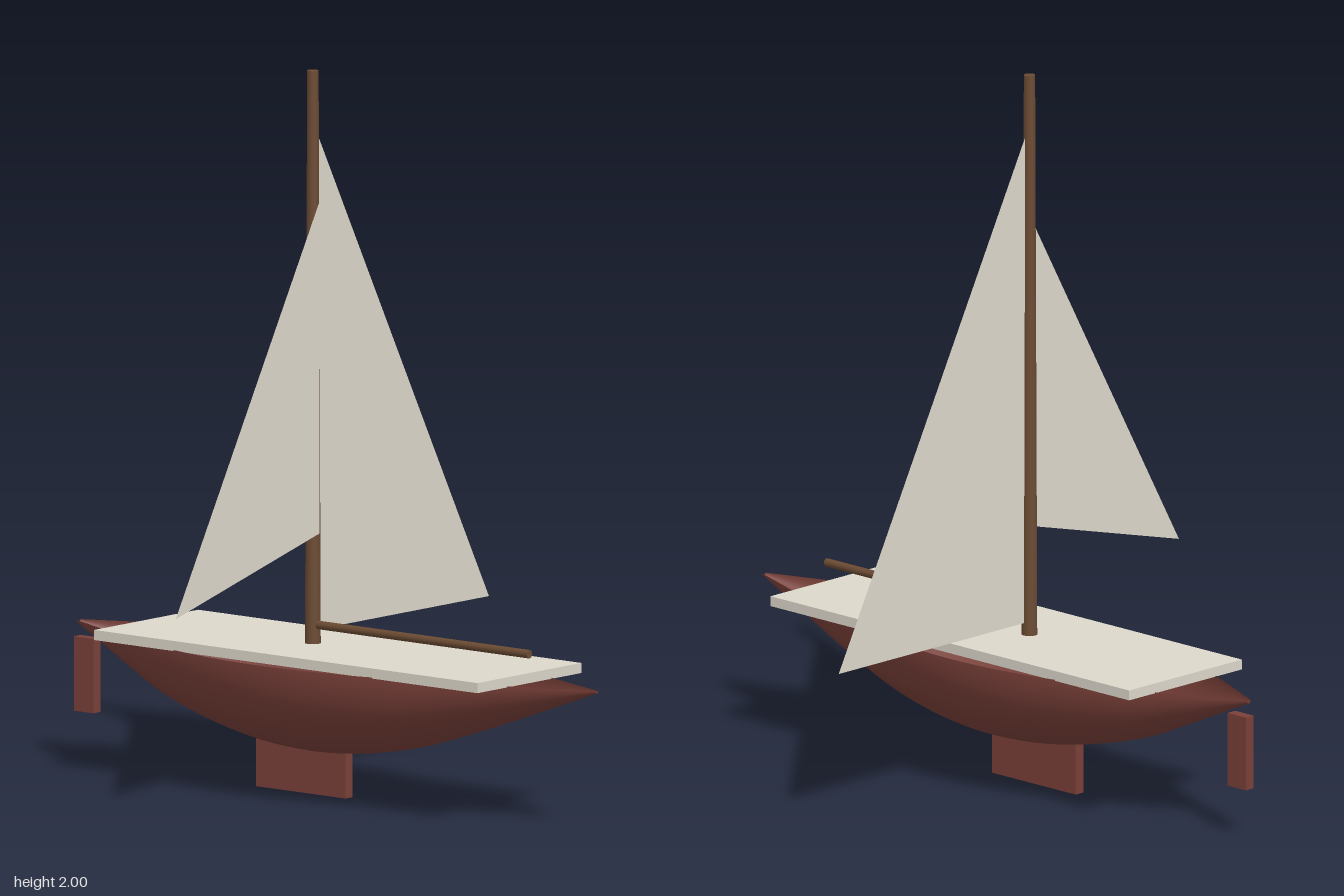
import * as THREE from 'three';

const CX = -0.07;     // centre line of the boat
const MAST_Z = -0.087;

const hullRed = new THREE.MeshStandardMaterial({ color: 0x7a4039, side: THREE.DoubleSide });
hullRed.name = 'hullRed';
const canvas = new THREE.MeshStandardMaterial({ color: 0xddd8cb, side: THREE.DoubleSide });
canvas.name = 'canvas';
const wood = new THREE.MeshStandardMaterial({ color: 0x6b4b33 });
wood.name = 'wood';

export function createModel() {
  const boat = new THREE.Group();
  boat.name = 'sailboat';

  const add = (name, geometry, material, x = 0, y = 0, z = 0) => {
    const mesh = new THREE.Mesh(geometry, material);
    mesh.name = name;
    mesh.position.set(x, y, z);
    boat.add(mesh);
    return mesh;
  };

  // Open hull: lower half of a spindle, radius against length
  const stations = [
    [0.008, -0.925], [0.115, -0.69], [0.175, -0.55], [0.22, -0.4], [0.256, -0.22],
    [0.268, -0.04], [0.256, 0.13], [0.22, 0.31], [0.16, 0.5], [0.093, 0.69], [0.006, 0.928],
  ].map(([r, z]) => new THREE.Vector2(r, z));
  const profile = new THREE.SplineCurve(stations).getPoints(40);
  const hull = new THREE.LatheGeometry(profile, 32, -Math.PI / 2, Math.PI);
  hull.rotateX(Math.PI / 2);
  add('hull', hull, hullRed, CX, 0.39, 0);

  // Deck, keel and rudder
  add('deck', new THREE.BoxGeometry(0.44, 0.028, 1.37), canvas, CX, 0.401, 0.002);
  add('keel', new THREE.BoxGeometry(0.03, 0.16, 0.32), hullRed, CX, 0.08, -0.118);
  add('rudder', new THREE.BoxGeometry(0.03, 0.206, 0.07), hullRed, CX, 0.242, -0.894);

  // Mast and boom
  add('mast', new THREE.CylinderGeometry(0.016, 0.022, 1.6, 12), wood, CX, 1.2, MAST_Z);
  const boom = new THREE.CylinderGeometry(0.012, 0.012, 0.775, 10);
  boom.rotateX(Math.PI / 2);
  add('boom', boom, wood, CX, 0.467, MAST_Z + 0.387);

  // Triangular sails set across the boat
  const sail = (name, corners, z) => {
    const shape = new THREE.Shape(corners.map(([x, y]) => new THREE.Vector2(x, y)));
    add(name, new THREE.ShapeGeometry(shape), canvas, 0, 0, z);
  };
  sail('mainSail', [[-0.055, 0.45], [0.675, 0.45], [-0.055, 1.83]], MAST_Z);
  sail('jib', [[-0.675, 0.56], [-0.066, 0.72], [-0.066, 1.64]], MAST_Z + 0.021);

  return boat;
}
